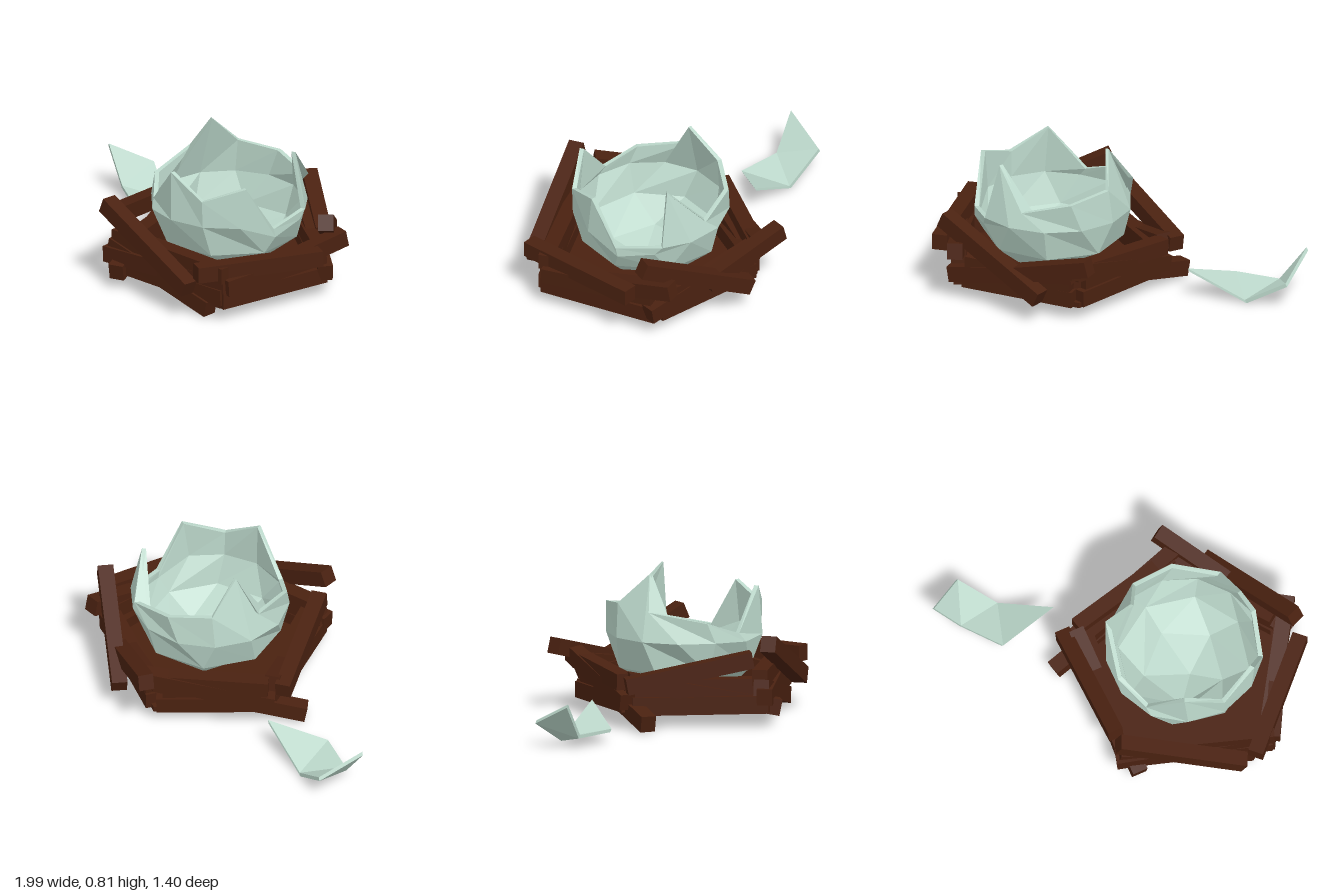
import * as THREE from 'three';

const shell = new THREE.MeshStandardMaterial({ color: 0xbcd8cb, flatShading: true, side: THREE.DoubleSide });
shell.name = 'pale eggshell';
const wood = new THREE.MeshStandardMaterial({ color: 0x4a2110, flatShading: true });
wood.name = 'brown wood';

// Flat-faced geometry from a list of triangles (each three Vector3)
function fromTriangles(tris) {
  const g = new THREE.BufferGeometry().setFromPoints(tris.flat());
  g.computeVertexNormals();
  return g;
}

// Triangle strip joining two closed rings with different point counts
function zipRings(upper, lower) {
  const tris = [], n = upper.length, m = lower.length;
  let i = 0, j = 0;
  while (i < n || j < m) {
    const a = upper[i % n], b = lower[j % m];
    if (j >= m || (i < n && (i + 0.5) / n <= (j + 1) / m)) {
      tris.push([a, upper[(i + 1) % n], b]);
      i++;
    } else {
      tris.push([a, lower[(j + 1) % m], b]);
      j++;
    }
  }
  return tris;
}

const flip = (tris) => tris.map(([a, b, c]) => [a, c, b]);

// Broken egg: jagged rim, faceted bowl, and an inner wall
function makeEgg() {
  const cx = 0.31, cz = 0.055, start = 0.22;
  const ring = (n, r, height, turn) => Array.from({ length: n }, (_, i) => {
    const t = start + turn + (i / n) * Math.PI * 2;
    return new THREE.Vector3(cx + r * Math.cos(t), height(i), cz + r * Math.sin(t));
  });
  const rim = [
    [0.73, 0.42, 0.16], [0.66, 0.68, 0.31], [0.47, 0.6, 0.46], [0.25, 0.72, 0.465],
    [0.05, 0.49, 0.38], [-0.08, 0.56, 0.22], [-0.1, 0.62, -0.1], [0.04, 0.81, -0.11],
    [0.08, 0.64, -0.29], [0.31, 0.61, -0.38], [0.57, 0.56, -0.31], [0.65, 0.77, -0.11],
    [0.73, 0.46, -0.1],
  ].map((p) => new THREE.Vector3(...p));
  const belt = ring(13, 0.432, (i) => Math.min(0.45, rim[i].y - 0.05), 0);
  const middle = ring(8, 0.385, () => 0.27, 0.1);
  const low = ring(5, 0.24, () => 0.14, 0.3);
  const pole = new THREE.Vector3(0.34, 0.08, 0.09);
  const wall = [
    ...zipRings(rim, belt),
    ...zipRings(belt, middle),
    ...zipRings(middle, low),
    ...low.map((p, i) => [p, low[(i + 1) % 5], pole]),
  ];
  const centre = new THREE.Vector3(cx, 0.5, cz);
  const inset = (p) => {
    const q = p.clone().sub(centre).multiplyScalar(0.94).add(centre);
    if (rim.includes(p)) q.y = p.y;
    return q;
  };
  const inner = wall.map((t) => t.map(inset));
  const edge = rim.flatMap((p, i) => {
    const q = rim[(i + 1) % rim.length];
    return [[p, inset(p), q], [q, inset(p), inset(q)]];
  });
  return fromTriangles([...wall, ...flip(inner), ...edge]);
}

// Fallen piece of shell: folded sheet with a thin edge
function makeFragment() {
  const low = [
    [-1, 0.25, -0.45], [-0.84, 0.13, -0.64], [-0.64, 0, -0.52],
    [-0.35, 0.16, -0.39], [-0.65, 0.055, -0.25], [-0.86, 0.055, -0.4],
  ].map((p) => new THREE.Vector3(...p));
  const lift = new THREE.Vector3(0.008, 0.018, 0.006);
  const top = low.map((p) => p.clone().add(lift));
  const faces = [[0, 5, 1], [1, 5, 2], [2, 5, 4], [2, 4, 3]];
  const sheet = (pts) => faces.map((f) => f.map((i) => pts[i]));
  const edge = low.flatMap((p, i) => {
    const k = (i + 1) % low.length;
    return [[p, top[i], low[k]], [low[k], top[i], top[k]]];
  });
  return fromTriangles([...sheet(top), ...flip(sheet(low)), ...edge]);
}

// Square stick between two end points
function makeStick(name, a, b, w = 0.085, h = 0.09) {
  const from = new THREE.Vector3(...a), to = new THREE.Vector3(...b);
  const m = new THREE.Mesh(new THREE.BoxGeometry(w, h, from.distanceTo(to)), wood);
  m.position.copy(from).lerp(to, 0.5);
  m.lookAt(to);
  m.name = name;
  return m;
}

export function createModel() {
  const root = new THREE.Group();
  root.name = 'hatched egg in nest';

  const egg = new THREE.Mesh(makeEgg(), shell);
  egg.name = 'brokenEgg';
  const fragment = new THREE.Mesh(makeFragment(), shell);
  fragment.name = 'shellFragment';

  const nest = new THREE.Group();
  nest.name = 'nest';

  // Flat five-sided floor
  const outline = [[-0.24, -0.18], [0.3, -0.54], [0.86, -0.08], [0.7, 0.57], [-0.08, 0.55]];
  const shape = new THREE.Shape(outline.map(([x, z]) => new THREE.Vector2(x, -z)));
  const floorGeo = new THREE.ExtrudeGeometry(shape, { depth: 0.03, bevelEnabled: false });
  floorGeo.rotateX(-Math.PI / 2).translate(0, 0.07, 0);
  const floor = new THREE.Mesh(floorGeo, wood);
  floor.name = 'nestFloor';
  nest.add(floor);

  // Sticks stacked along the five sides
  const sides = {
    front: [
      [[-0.13, 0.465, 0.56], [0.55, 0.175, 0.66]],
      [[0.62, 0.05, 0.56], [-0.12, 0.22, 0.52]],
      [[-0.1, 0.27, 0.51], [0.73, 0.27, 0.55]],
      [[-0.1, 0.125, 0.52], [0.72, 0.14, 0.55]],
      [[-0.14, 0.17, 0.54], [0.73, 0.21, 0.54]],
    ],
    leftFront: [
      [[0.955, 0.28, 0.03], [0.61, 0.285, 0.67]],
      [[0.92, 0.32, -0.2], [0.68, 0.15, 0.56]],
      [[0.72, 0.2, 0.56], [0.87, 0.24, -0.08]],
      [[0.86, 0.12, -0.1], [0.69, 0.12, 0.57]],
    ],
    leftBack: [
      [[0.94, 0.455, -0.03], [0.52, 0.15, -0.54]],
      [[0.27, 0.36, -0.66], [0.66, 0.22, -0.33]],
      [[0.91, 0.14, -0.06], [0.33, 0.27, -0.53]],
      [[0.84, 0.12, -0.1], [0.32, 0.12, -0.51]],
      [[0.83, 0.22, -0.12], [0.33, 0.19, -0.5]],
    ],
    rightBack: [
      [[0.37, 0.31, -0.57], [-0.26, 0.15, -0.2]],
      [[-0.39, 0.055, -0.07], [0.34, 0.22, -0.47]],
      [[-0.24, 0.26, -0.22], [0.33, 0.28, -0.53]],
      [[-0.2, 0.13, -0.2], [0.3, 0.12, -0.51]],
      [[-0.2, 0.2, -0.18], [0.28, 0.2, -0.48]],
    ],
    rightFront: [
      [[-0.32, 0.25, -0.2], [-0.13, 0.38, 0.47]],
      [[-0.02, 0.1, 0.61], [-0.25, 0.27, -0.2]],
      [[-0.22, 0.13, -0.18], [-0.08, 0.13, 0.55]],
      [[-0.2, 0.22, -0.18], [-0.04, 0.22, 0.52]],
    ],
  };
  for (const [side, sticks] of Object.entries(sides)) {
    sticks.forEach(([a, b], i) => nest.add(makeStick(`${side}Stick${i + 1}`, a, b)));
  }

  root.add(egg, fragment, nest);
  return root;
}
